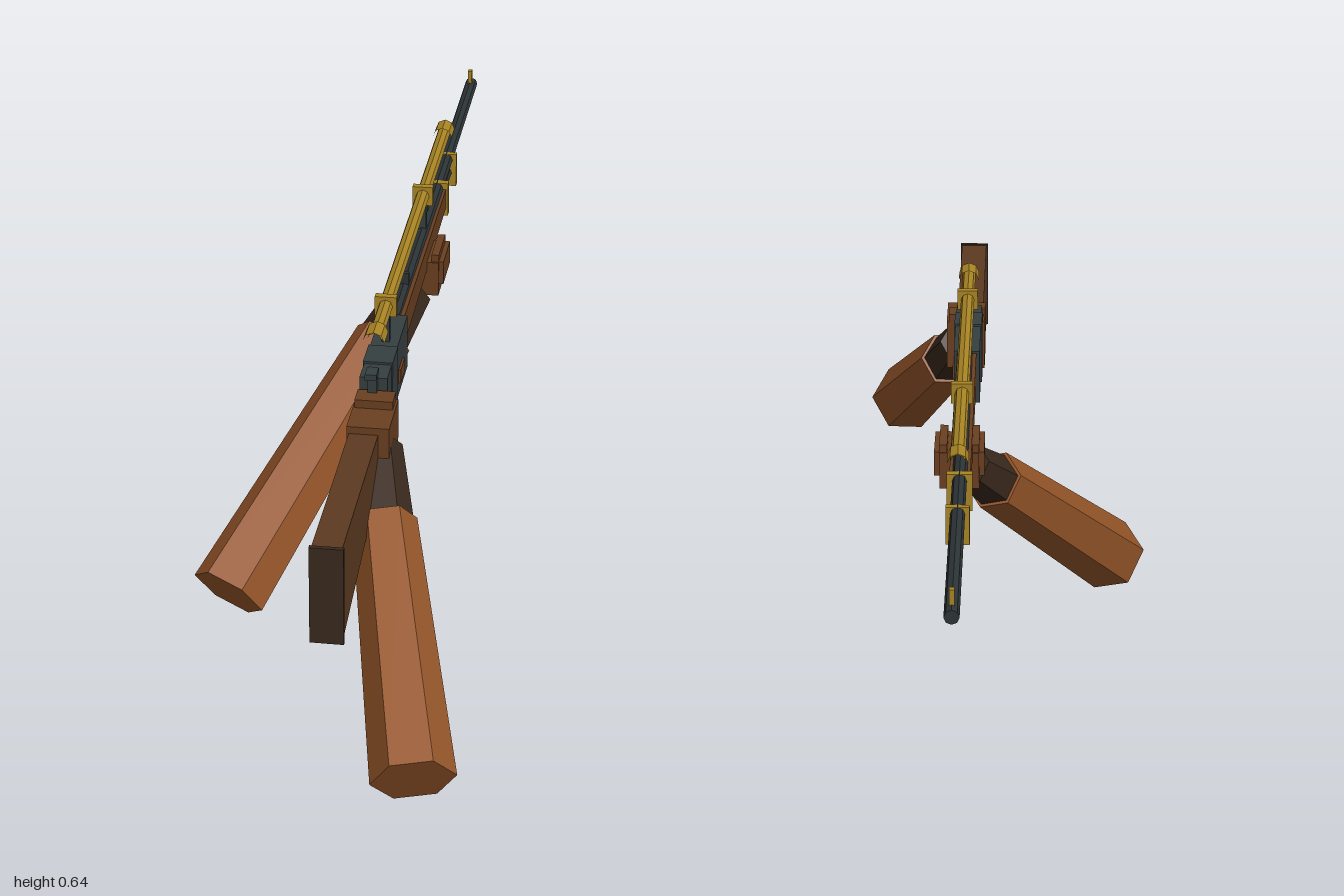
import * as THREE from 'three';

const mat = (name, color) => {
  const m = new THREE.MeshStandardMaterial({ color });
  m.name = name;
  m.flatShading = true;
  return m;
};

export function createModel() {
  const sleeveBrown = mat('sleeve brown', 0x96562a);
  const handBrown = mat('hand brown', 0x6a3f20);
  const wood = mat('walnut wood', 0x5c3a20);
  const dark = mat('dark brown', 0x3a291d);
  const steel = mat('gunmetal', 0x363f40);
  const barrelSteel = mat('barrel steel', 0x2d3436);
  const brass = mat('brass', 0xa98524);

  const root = new THREE.Group();
  root.name = 'rifleWithArms';
  const rifle = new THREE.Group();
  rifle.name = 'rifle';
  rifle.position.x = 0.06; // the bore line sits off centre
  root.add(rifle);

  const add = (parent, name, geometry, material) => {
    const mesh = new THREE.Mesh(geometry, material);
    mesh.name = name;
    parent.add(mesh);
    return mesh;
  };
  // box given by its limits on each axis
  const box = (parent, name, material, x0, x1, y0, y1, z0, z1) =>
    add(parent, name, new THREE.BoxGeometry(x1 - x0, y1 - y0, z1 - z0), material)
      .position.set((x0 + x1) / 2, (y0 + y1) / 2, (z0 + z1) / 2);
  // rod along z, on the bore line
  const rod = (name, material, r, y, z0, z1, open = false) => {
    const g = new THREE.CylinderGeometry(r, r, z1 - z0, 8, 1, open).rotateX(Math.PI / 2);
    add(rifle, name, g, material).position.set(0, y, (z0 + z1) / 2);
  };
  // side outline of [z, y] points, extruded across x
  const sideProfile = (name, material, points, width) => {
    const shape = new THREE.Shape(points.map(([z, y]) => new THREE.Vector2(-z, y)));
    const g = new THREE.ExtrudeGeometry(shape, { depth: width, bevelEnabled: false });
    g.translate(0, 0, -width / 2).rotateY(Math.PI / 2);
    add(rifle, name, g, material);
  };

  // Stock
  sideProfile('buttStock', wood, [[0.885, 0.33], [0.5, 0.4], [0.37, 0.44], [0.37, 0.5], [0.885, 0.5]], 0.05);
  box(rifle, 'buttPlate', dark, -0.028, 0.028, 0.327, 0.502, 0.885, 0.893);
  sideProfile('foreStock', handBrown, [[0.135, 0.49], [-0.45, 0.5], [-0.45, 0.54], [0.135, 0.545]], 0.036);

  // Receiver
  box(rifle, 'receiver', steel, -0.024, 0.024, 0.447, 0.549, 0.134, 0.385);
  box(rifle, 'receiverBand', steel, -0.026, 0.026, 0.436, 0.553, 0.268, 0.333);
  box(rifle, 'sideInset', handBrown, 0.022, 0.028, 0.47, 0.496, 0.195, 0.245);
  box(rifle, 'hammer', steel, -0.008, 0.008, 0.52, 0.57, 0.385, 0.4);
  box(rifle, 'hammerSpur', steel, -0.01, 0.01, 0.56, 0.571, 0.39, 0.418);

  // Trigger guard
  box(rifle, 'guardBottom', steel, -0.013, 0.013, 0.368, 0.38, 0.348, 0.458);
  box(rifle, 'guardFront', steel, -0.013, 0.013, 0.368, 0.45, 0.348, 0.36);
  box(rifle, 'guardBack', steel, -0.013, 0.013, 0.368, 0.42, 0.446, 0.458);
  box(rifle, 'trigger', steel, -0.005, 0.005, 0.39, 0.45, 0.39, 0.4);

  // Barrel, tube and sights
  rod('barrel', barrelSteel, 0.0125, 0.54, -1, 0.135);
  rod('magazineTube', barrelSteel, 0.011, 0.513, -0.66, -0.44);
  for (const [z, w, d] of [[-0.455, 0.022, 0.008], [-0.597, 0.02, 0.006]]) {
    box(rifle, 'barrelBand', brass, -w, w, 0.485, 0.552, z - d, z + d);
  }
  box(rifle, 'frontSight', brass, -0.004, 0.004, 0.55, 0.578, -0.981, -0.971);
  box(rifle, 'rearSight', barrelSteel, -0.009, 0.009, 0.548, 0.572, 0, 0.01);

  // Telescopic sight: open tubes held by square rings on posts
  rod('scopeTube', brass, 0.0125, 0.616, -0.56, 0.375, true);
  rod('scopeEyepiece', brass, 0.019, 0.616, 0.34, 0.386, true);
  rod('scopeObjective', brass, 0.018, 0.616, -0.57, -0.525, true);
  for (const z of [0.235, -0.245]) {
    box(rifle, 'scopeRing', brass, -0.019, 0.019, 0.597, 0.634, z - 0.007, z + 0.007);
    box(rifle, 'scopePost', steel, -0.007, 0.007, 0.54, 0.615, z - 0.009, z + 0.009);
  }

  // Six-sided limb piece running from a (radius ra) to b (radius rb)
  const limb = (parent, name, material, a, b, ra, rb, roll) => {
    const dir = b.clone().sub(a);
    const length = dir.length();
    dir.normalize();
    const side = new THREE.Vector3(0, 1, 0).cross(dir).normalize();
    const up = dir.clone().cross(side);
    const g = new THREE.CylinderGeometry(rb, ra, length, 6).rotateX(Math.PI / 2).rotateZ(Math.PI / 2 + roll);
    const mesh = add(parent, name, g, material);
    mesh.quaternion.setFromRotationMatrix(new THREE.Matrix4().makeBasis(side, up, dir));
    mesh.position.copy(a).add(b).multiplyScalar(0.5);
  };
  const arm = (name, wrist, cuff, end, roll) => {
    const group = new THREE.Group();
    group.name = name;
    root.add(group);
    const [w, c, e] = [wrist, cuff, end].map((p) => new THREE.Vector3(...p));
    limb(group, 'wrist', dark, w, c, 0.039, 0.049, roll);
    limb(group, 'sleeve', sleeveBrown, c, e, 0.055, 0.071, roll);
    return group;
  };

  // Arm holding the grip
  const rear = arm('rearArm', [0.08, 0.45, 0.445], [0.106, 0.371, 0.563], [0.211, 0.128, 0.964], 0.12);
  box(rear, 'hand', handBrown, 0.031, 0.104, 0.418, 0.513, 0.39, 0.5);
  box(rear, 'thumb', handBrown, 0.034, 0.1, 0.5, 0.528, 0.39, 0.43);
  for (const z of [0.38, 0.42]) box(rear, 'finger', handBrown, 0.042, 0.09, 0.393, 0.425, z - 0.015, z + 0.015);

  // Arm supporting the fore stock
  const front = arm('frontArm', [0.05, 0.45, -0.175], [0.008, 0.387, -0.095], [-0.216, 0.056, 0.312], -0.35);
  box(front, 'palm', handBrown, 0.03, 0.1, 0.445, 0.512, -0.272, -0.17);
  for (const x of [0.021, 0.095]) box(front, 'fingers', handBrown, x, x + 0.014, 0.468, 0.513, -0.268, -0.174);
  for (const x of [0.03, 0.086]) box(front, 'fingertips', handBrown, x, x + 0.014, 0.505, 0.526, -0.268, -0.174);

  return root;
}
